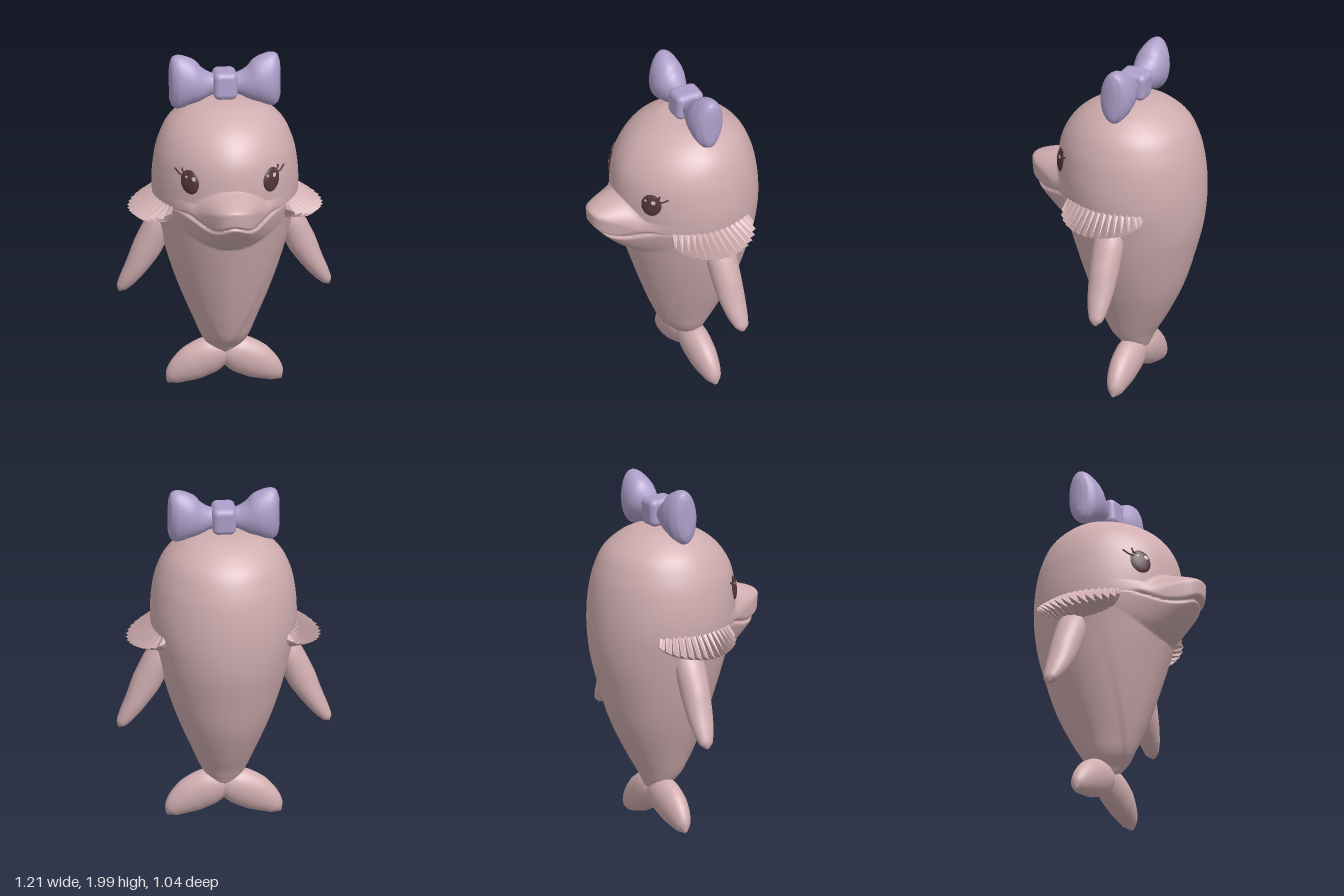
import * as THREE from 'three';
import { RoundedBoxGeometry } from 'three/addons/geometries/RoundedBoxGeometry.js';

const skin = new THREE.MeshStandardMaterial({ color: 0xd0adb0 });
skin.name = 'dusty pink skin';
const ribbon = new THREE.MeshStandardMaterial({ color: 0xae9fca });
ribbon.name = 'lavender ribbon';
const dark = new THREE.MeshStandardMaterial({ color: 0x54363d });
dark.name = 'dark brown';
const shine = new THREE.MeshStandardMaterial({ color: 0xd8bcc0 });
shine.name = 'eye shine';

const { clamp, smoothstep, lerp } = THREE.MathUtils;

function add(parent, name, geometry, material) {
  const mesh = new THREE.Mesh(geometry, material);
  mesh.name = name;
  parent.add(mesh);
  return mesh;
}

// Surface through rows of points; closed rows wrap around.
function skinRows(rows, closed = true) {
  const n = rows[0].length, index = [];
  for (let i = 0; i < rows.length - 1; i++) {
    for (let j = 0; j < (closed ? n : n - 1); j++) {
      const a = i * n + j, b = i * n + (j + 1) % n;
      index.push(a, b, a + n, b, b + n, a + n);
    }
  }
  const g = new THREE.BufferGeometry();
  g.setAttribute('position', new THREE.Float32BufferAttribute(rows.flat(2), 3));
  g.setIndex(index);
  g.computeVertexNormals();
  return g;
}

// Oval sections [x, y, z, half width, half depth] swept along a path in x and y.
function loft(sections, steps = 28, sides = 28) {
  const path = new THREE.CatmullRomCurve3(sections.map(s => new THREE.Vector3(s[0], s[1], s[2])));
  const size = new THREE.CatmullRomCurve3(sections.map(s => new THREE.Vector3(s[3], s[4], 0)));
  const rows = [];
  for (let i = 0; i <= steps; i++) {
    const p = path.getPoint(i / steps), t = path.getTangent(i / steps), r = size.getPoint(i / steps);
    const len = Math.hypot(t.x, t.y), row = [];
    for (let j = 0; j < sides; j++) {
      const a = j / sides * Math.PI * 2, h = r.x * Math.cos(a) / len;
      row.push([p.x - t.y * h, p.y + t.x * h, p.z + r.y * Math.sin(a)]);
    }
    rows.push(row);
  }
  const close = (row) => {
    const c = [0, 1, 2].map(k => row.reduce((s, p) => s + p[k], 0) / sides);
    return row.map(() => [...c]);
  };
  return skinRows([close(rows[0]), ...rows, close(rows[steps])]);
}

// Body profile: height, half width, front z, back z.
const PROFILE = [
  [0.19, 0.002, -0.11, -0.114], [0.205, 0.055, -0.06, -0.165], [0.25, 0.1, -0.01, -0.2],
  [0.3, 0.132, 0.04, -0.225], [0.4, 0.175, 0.09, -0.285], [0.6, 0.258, 0.165, -0.385],
  [0.8, 0.325, 0.23, -0.45], [1.0, 0.375, 0.29, -0.5], [1.2, 0.412, 0.335, -0.515],
  [1.4, 0.402, 0.335, -0.497], [1.5, 0.378, 0.31, -0.47], [1.6, 0.33, 0.245, -0.42],
  [1.66, 0.27, 0.175, -0.355], [1.7, 0.207, 0.1, -0.29], [1.725, 0.13, 0.025, -0.22], [1.738, 0.002, -0.1, -0.104],
];
const profile = new THREE.CubicInterpolant(PROFILE.map(p => p[0]), PROFILE.flatMap(p => p.slice(1)), 3);
const POW = 1.85;

// Snout, jaw, mouth crease and belly panel, as relief on the front.
function relief(x, y) {
  const ax = Math.abs(x);
  const mouth = 1.155 + 0.02 * Math.cos(Math.min(ax, 0.27) * Math.PI / 0.13);
  const top = 1.337 - 0.09 * Math.min(1, (ax / 0.2) ** 2);
  const low = 0.965 + 0.13 * Math.min(1, (ax / 0.32) ** 2);
  let d = 0;
  if (y > mouth) {
    d = 0.182 * Math.sqrt(smoothstep(top - y, 0, 0.07)) / (1 + (ax / 0.155) ** 4);
  } else {
    d = 0.168 * clamp((y - low) / (mouth - low), 0, 1) ** 0.7 / (1 + (ax / 0.18) ** 4);
  }
  d -= 0.028 * Math.exp(-(((y - mouth) / 0.011) ** 2)) * (1 - smoothstep(ax, 0.22, 0.29));
  const belly = 0.44 * Math.max(0, y - 0.28) ** 0.85;
  d -= 0.013 * smoothstep(ax, belly, belly + 0.03) * (1 - smoothstep(y, 0.95, 1.08));
  return d;
}

function frontZ(x, y) {
  const [w, zf, zb] = profile.evaluate(y);
  const f = Math.max(0, 1 - Math.min(1, Math.abs(x / w)) ** POW) ** (1 / POW);
  const mid = (zf + zb) / 2;
  return mid + (zf - mid + relief(x, y) * Math.min(1, w / 0.1)) * f;
}

function bodyGeometry() {
  const ys = [];
  const span = (a, b, n, ease = t => t) => {
    for (let i = 0; i < n; i++) ys.push(lerp(a, b, ease(i / n)));
  };
  span(0.19, 0.32, 14, t => t * t);
  span(0.32, 0.94, 26);
  span(0.94, 1.1, 14);
  span(1.1, 1.35, 56);
  span(1.35, 1.6, 12);
  span(1.6, 1.738, 18, t => 1 - (1 - t) ** 2);
  ys.push(1.738);
  return skinRows(ys.map(y => {
    const [w, zf, zb] = profile.evaluate(y), row = [];
    for (let j = 0; j < 160; j++) {
      const a = j / 160 * Math.PI * 2, c = Math.cos(a), s = -Math.sin(a);
      const x = w * (s > 0 ? Math.sign(c) * Math.abs(c) ** (2 / POW) : c);
      row.push([x, y, s > 0 ? frontZ(x, y) : (zf + zb) / 2 + s * (zf - zb) / 2]);
    }
    return row;
  }));
}

// Pleated frill above the flipper, faceted.
function frillGeometry() {
  const count = 30, under = [], rim = [], top = [];
  for (let i = 0; i <= count; i++) {
    const u = i / count * 2 - 1, t = u * 0.62 - 0.04;
    const env = Math.max(0, Math.cos(u * Math.PI / 2)) ** 0.6;
    const zig = (i % 2 ? 1 : -1) * env;
    const at = (off, y, shift = 0) =>
      [(0.412 + off) * Math.cos(t + shift), y, -0.09 - (0.425 + off) * Math.sin(t + shift)];
    under.push(at(-0.05, 1.12 - 0.09 * env));
    rim.push(at(0.115 * env + 0.025 * zig, 1.15 - 0.075 * env + 0.018 * zig, 0.03 * zig));
    top.push(at(-0.015, 1.195 + 0.006 * zig));
  }
  const g = skinRows([under, rim, top], false).toNonIndexed();
  g.computeVertexNormals();
  return g;
}

// Oval patch that follows the face.
function facePatch(cx, cy, rx, ry, lift, bulge) {
  const g = new THREE.RingGeometry(0.001, 1, 28, 6), p = g.attributes.position;
  for (let i = 0; i < p.count; i++) {
    const u = p.getX(i), v = p.getY(i), x = cx + rx * u, y = cy + ry * v;
    p.setXYZ(i, x, y, frontZ(x, y) + lift + bulge * Math.sqrt(Math.max(0, 1 - u * u - v * v)));
  }
  g.computeVertexNormals();
  return g;
}

export function createModel() {
  const model = new THREE.Group();
  model.name = 'dolphin with bow';
  add(model, 'body', bodyGeometry(), skin);

  const fluke = loft([[-0.05, 0.2, -0.115, 0.05, 0.05], [0.03, 0.19, -0.115, 0.095, 0.075],
    [0.1, 0.165, -0.115, 0.11, 0.08], [0.18, 0.125, -0.115, 0.105, 0.075],
    [0.25, 0.08, -0.117, 0.08, 0.06], [0.295, 0.04, -0.12, 0.05, 0.04], [0.32, 0.012, -0.12, 0.008, 0.008]]);
  const flipper = loft([[0.31, 1.09, -0.12, 0.06, 0.07], [0.375, 0.97, -0.12, 0.08, 0.088],
    [0.43, 0.85, -0.123, 0.083, 0.084], [0.49, 0.735, -0.128, 0.066, 0.075],
    [0.545, 0.645, -0.134, 0.048, 0.058], [0.58, 0.592, -0.14, 0.03, 0.038], [0.593, 0.568, -0.14, 0.006, 0.008]]);
  const frill = frillGeometry();
  const loop = loft([[0.03, 0, 0, 0.05, 0.045], [0.09, 0, 0, 0.07, 0.062], [0.15, 0.002, 0, 0.107, 0.085],
    [0.21, 0.012, 0, 0.143, 0.096], [0.265, 0.018, 0, 0.158, 0.088], [0.3, 0.018, 0, 0.142, 0.06],
    [0.314, 0.018, 0, 0.1, 0.02]]);

  // Bow on top of the head
  const bow = new THREE.Group();
  bow.name = 'bow';
  bow.position.set(0, 1.82, -0.105);
  bow.rotation.x = -0.06;
  model.add(bow);
  add(bow, 'bowKnot', new RoundedBoxGeometry(0.135, 0.16, 0.17, 4, 0.035), ribbon);

  for (const [side, s] of [['left', 1], ['right', -1]]) {
    add(model, side + 'Fluke', fluke, skin).scale.x = s;
    add(model, side + 'Flipper', flipper, skin).scale.x = s;
    add(model, side + 'Frill', frill, skin).scale.x = s;
    add(bow, side + 'BowLoop', loop, ribbon).scale.x = s;

    // Eye with two glints and two lashes
    add(model, side + 'Eye', facePatch(s * 0.23, 1.37, 0.048, 0.07, 0.002, 0.014), dark);
    add(model, side + 'EyeGlint', facePatch(s * 0.23 + 0.018, 1.395, 0.011, 0.014, 0.014, 0.003), shine);
    add(model, side + 'EyeSmallGlint', facePatch(s * 0.23 - 0.02, 1.4, 0.006, 0.008, 0.013, 0.003), shine);
    for (const lash of [[[0.262, 1.4], [0.285, 1.408], [0.308, 1.432]], [[0.25, 1.415], [0.266, 1.425], [0.272, 1.447]]]) {
      const pts = lash.map(([x, y], i) => new THREE.Vector3(s * x, y, frontZ(x, y) + 0.005 + 0.006 * i));
      add(model, side + 'Lash', new THREE.TubeGeometry(new THREE.CatmullRomCurve3(pts), 8, 0.005, 6), dark);
    }
  }
  return model;
}
